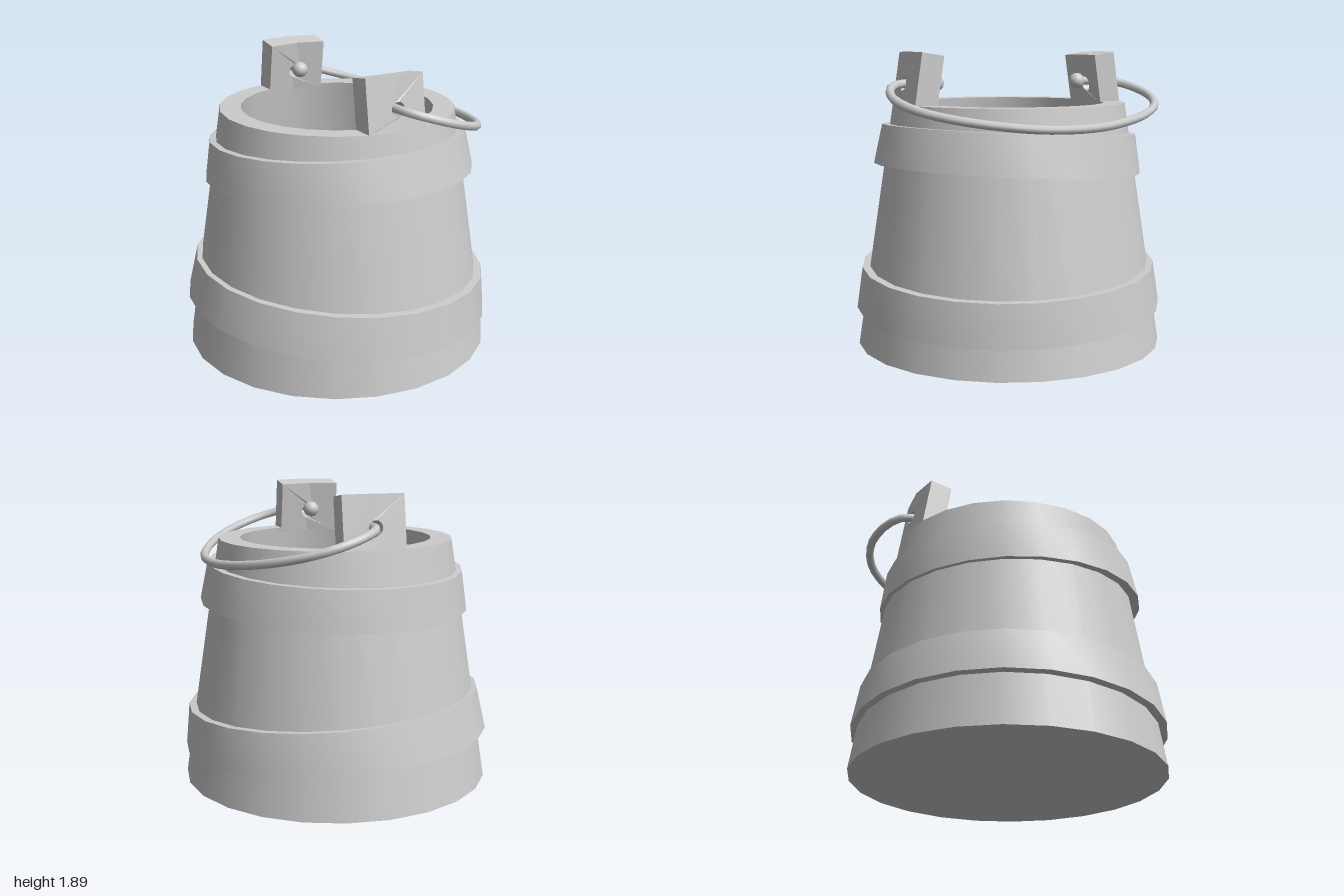
import * as THREE from 'three';
import { toCreasedNormals } from 'three/addons/utils/BufferGeometryUtils.js';

const material = new THREE.MeshStandardMaterial({ color: 0xcccccc });
const SIDES = 24;
const LEAN = Math.atan(0.155); // inward slope of the bucket wall

function add(parent, name, geometry) {
  const mesh = new THREE.Mesh(geometry, material);
  mesh.name = name;
  parent.add(mesh);
  return mesh;
}

function turned(points) {
  const profile = points.map(([r, y]) => new THREE.Vector2(r, y));
  return toCreasedNormals(new THREE.LatheGeometry(profile, SIDES), 0.6);
}

// Hoop tilted so its upward axis follows the given normal
function addHoop(parent, name, bottomR, topR, height, center, axis) {
  const h = height / 2, depth = 0.11;
  const hoop = add(parent, name, turned([
    [bottomR - depth, -h], [bottomR, -h], [topR, h], [topR - depth, h], [bottomR - depth, -h],
  ]));
  hoop.position.set(...center);
  hoop.quaternion.setFromUnitVectors(
    new THREE.Vector3(0, 1, 0), new THREE.Vector3(...axis).normalize());
}

// Upright lug with a hole, bent to follow the round wall
function earGeometry() {
  const w = 0.195, h = 0.33, t = 0.145;
  const shape = new THREE.Shape();
  [[-w, 0], [0, 0], [w, 0], [w, h], [0, h], [-w, h]].forEach(([x, y], i) =>
    i ? shape.lineTo(x, y) : shape.moveTo(x, y));
  shape.closePath();
  const hole = new THREE.Path();
  hole.absarc(0, 0.132, 0.045, 0, Math.PI * 2, true);
  shape.holes.push(hole);
  const geometry = new THREE.ExtrudeGeometry(shape, { depth: t, bevelEnabled: false, curveSegments: 8 });
  geometry.translate(0, 0, -t);
  const p = geometry.attributes.position;
  for (let i = 0; i < p.count; i++) p.setZ(i, p.getZ(i) - 0.131 * Math.abs(p.getX(i)));
  geometry.computeVertexNormals();
  return geometry;
}

export function createModel() {
  const bucket = new THREE.Group();
  bucket.name = 'bucket';

  // Hollow tapered tub with a floor
  add(bucket, 'tub', turned([
    [0, 0], [0.993, 0], [0.75, 1.56], [0.615, 1.56], [0.84, 0.1], [0, 0.1],
  ]));

  // Two slightly crooked hoops
  addHoop(bucket, 'lowerHoop', 0.997, 0.955, 0.267, [0.004, 0.392, 0.008], [0.06, 1, 0.035]);
  addHoop(bucket, 'upperHoop', 0.866, 0.822, 0.25, [0.003, 1.265, 0.007], [-0.017, 1, -0.055]);

  // Handle lugs, front and back
  const ear = earGeometry();
  for (const [name, turn] of [['frontEar', 0], ['backEar', Math.PI]]) {
    const pivot = new THREE.Group();
    pivot.name = name;
    pivot.rotation.y = turn;
    const mesh = add(pivot, name + 'Block', ear);
    mesh.position.set(0, 1.56, 0.75);
    mesh.rotation.x = -LEAN;
    bucket.add(pivot);
  }

  // Wire handle, lying in a plane that drops towards the left
  const half = [
    [0, 0.51], [0, 0.6], [0, 0.71], [0.03, 0.79], [0.13, 0.86], [0.3, 0.885],
    [0.48, 0.81], [0.64, 0.63], [0.76, 0.39], [0.825, 0.15],
  ];
  const path = [...half, ...half.slice().reverse().map(([x, z]) => [x, -z])]
    .map(([x, z]) => new THREE.Vector3(x, 1.69 - 0.3 * x, z));
  const curve = new THREE.CatmullRomCurve3(path);
  add(bucket, 'handle', new THREE.TubeGeometry(curve, 48, 0.027, 8, false));

  // Round stops on the wire ends
  for (const s of [1, -1]) {
    add(bucket, s > 0 ? 'frontKnob' : 'backKnob', new THREE.SphereGeometry(0.052, 16, 12))
      .position.set(0, 1.69, 0.51 * s);
  }

  return bucket;
}
